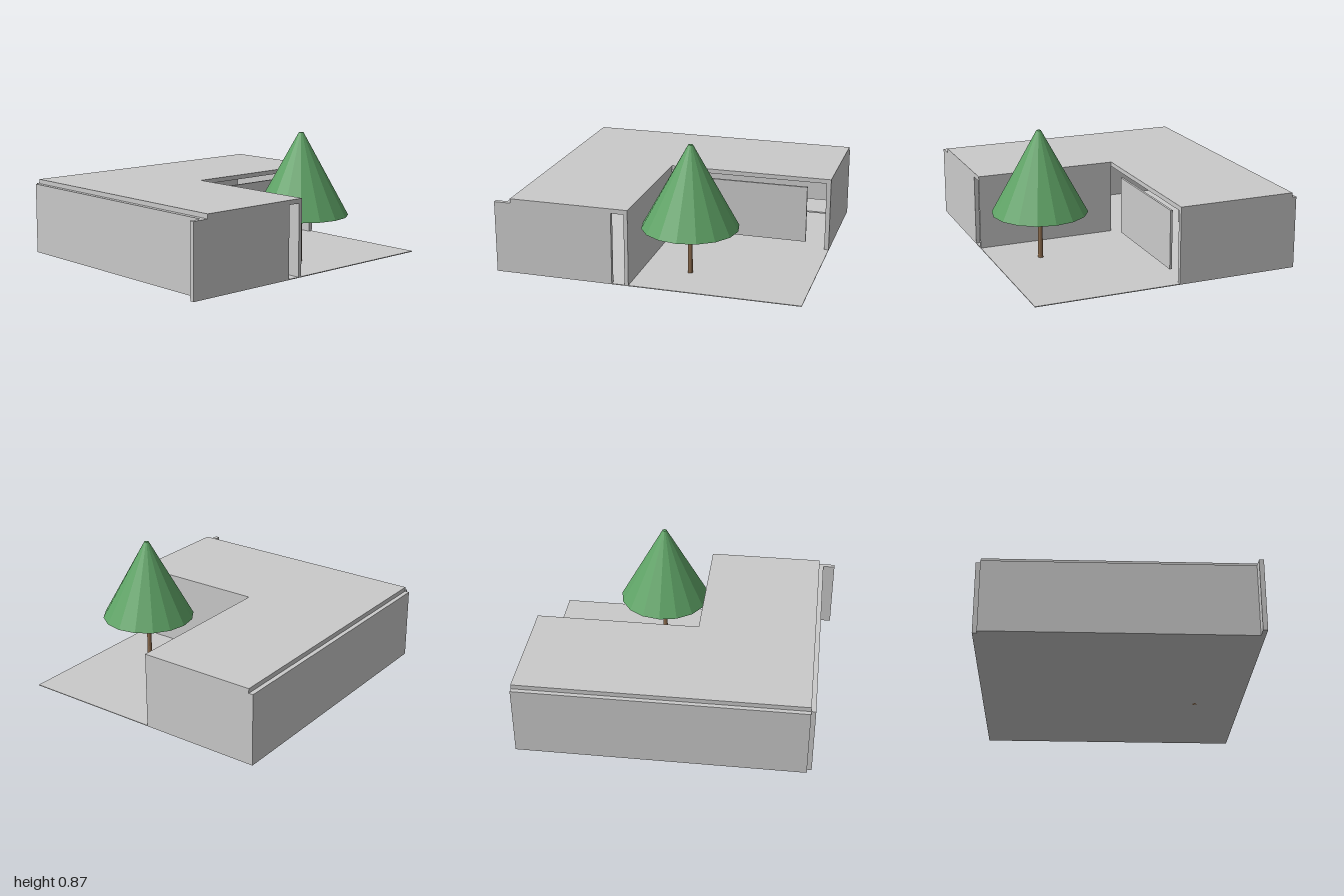
import * as THREE from 'three';

export function createModel() {
  const model = new THREE.Group();
  model.name = 'courtyardHouse';
  const mat = (name, color, flatShading = false) => {
    const m = new THREE.MeshStandardMaterial({ color, flatShading });
    m.name = name;
    return m;
  };
  const grey = mat('plaster grey', 0xcacaca);
  const green = mat('foliage green', 0x5fa366, true);
  const brown = mat('bark brown', 0x8a6a4c, true);

  const add = (name, geometry, material, parent = model) => {
    const mesh = new THREE.Mesh(geometry, material);
    mesh.name = name;
    parent.add(mesh);
    return mesh;
  };
  // Box given by its limits on each axis
  const slab = (name, x0, x1, y0, y1, z0, z1, parent = model) => {
    const mesh = add(name, new THREE.BoxGeometry(x1 - x0, y1 - y0, z1 - z0), grey, parent);
    mesh.position.set((x0 + x1) / 2, (y0 + y1) / 2, (z0 + z1) / 2);
    return mesh;
  };

  // Floor and outer walls
  const H = 0.475, F = 0.005;
  slab('floor', -0.92, 1, 0, F, -0.85, 0.88);
  slab('backWall', -0.89, 1, 0, H, -0.88, -0.85);
  slab('leftOuterWall', -0.92, -0.89, 0, H, -0.85, 0.85);
  slab('frontWall', -1, -0.215, 0, H, 0.85, 0.88);
  slab('courtyardWall', -0.13, -0.105, 0, H, -0.07, 0.88);
  slab('endWall', 0.97, 1, 0, H, -0.85, -0.07);

  // L-shaped flat roof
  const corners = [[-0.89, -0.85], [1, -0.85], [1, -0.07], [-0.105, -0.07], [-0.105, 0.88], [-0.89, 0.88]];
  const outline = new THREE.Shape(corners.map(([x, z]) => new THREE.Vector2(x, z)));
  const roof = new THREE.ExtrudeGeometry(outline, { depth: 0.505 - H, bevelEnabled: false });
  roof.rotateX(Math.PI / 2);
  add('roof', roof, grey).position.y = 0.505;

  // Large panel facing the courtyard
  slab('courtyardPanel', 0.055, 0.84, 0.045, 0.435, -0.09, -0.075);

  // Table on thin legs
  const table = new THREE.Group();
  table.name = 'table';
  model.add(table);
  slab('tableTop', 0.575, 0.92, 0.108, 0.118, -0.76, -0.49, table);
  for (const x of [0.585, 0.907]) {
    for (const z of [-0.505, -0.745]) {
      slab('tableLeg', x - 0.005, x + 0.005, F, 0.108, z - 0.005, z + 0.005, table);
    }
  }

  // Low sofa
  const sofa = new THREE.Group();
  sofa.name = 'sofa';
  model.add(sofa);
  slab('sofaSeat', -0.01, 0.43, 0.035, 0.075, -0.75, -0.55, sofa);
  slab('sofaBack', -0.01, 0.43, 0.035, 0.135, -0.79, -0.75, sofa);
  for (const x of [-0.025, 0.43]) slab('sofaArm', x, x + 0.015, 0.035, 0.13, -0.79, -0.55, sofa);
  for (const x of [0, 0.42]) {
    for (const z of [-0.77, -0.57]) slab('sofaLeg', x - 0.006, x + 0.006, F, 0.035, z - 0.006, z + 0.006, sofa);
  }

  // Cabinet behind the entrance
  slab('cabinet', -0.5, -0.4, F, 0.24, 0.45, 0.65);

  // Courtyard tree
  const tree = new THREE.Group();
  tree.name = 'tree';
  tree.position.set(0.21, 0, 0.565);
  model.add(tree);
  add('trunk', new THREE.CylinderGeometry(0.013, 0.017, 0.34, 12), brown, tree).position.y = 0.17;
  add('crown', new THREE.CylinderGeometry(0.015, 0.315, 0.545, 16), green, tree).position.y = 0.5925;

  return model;
}
